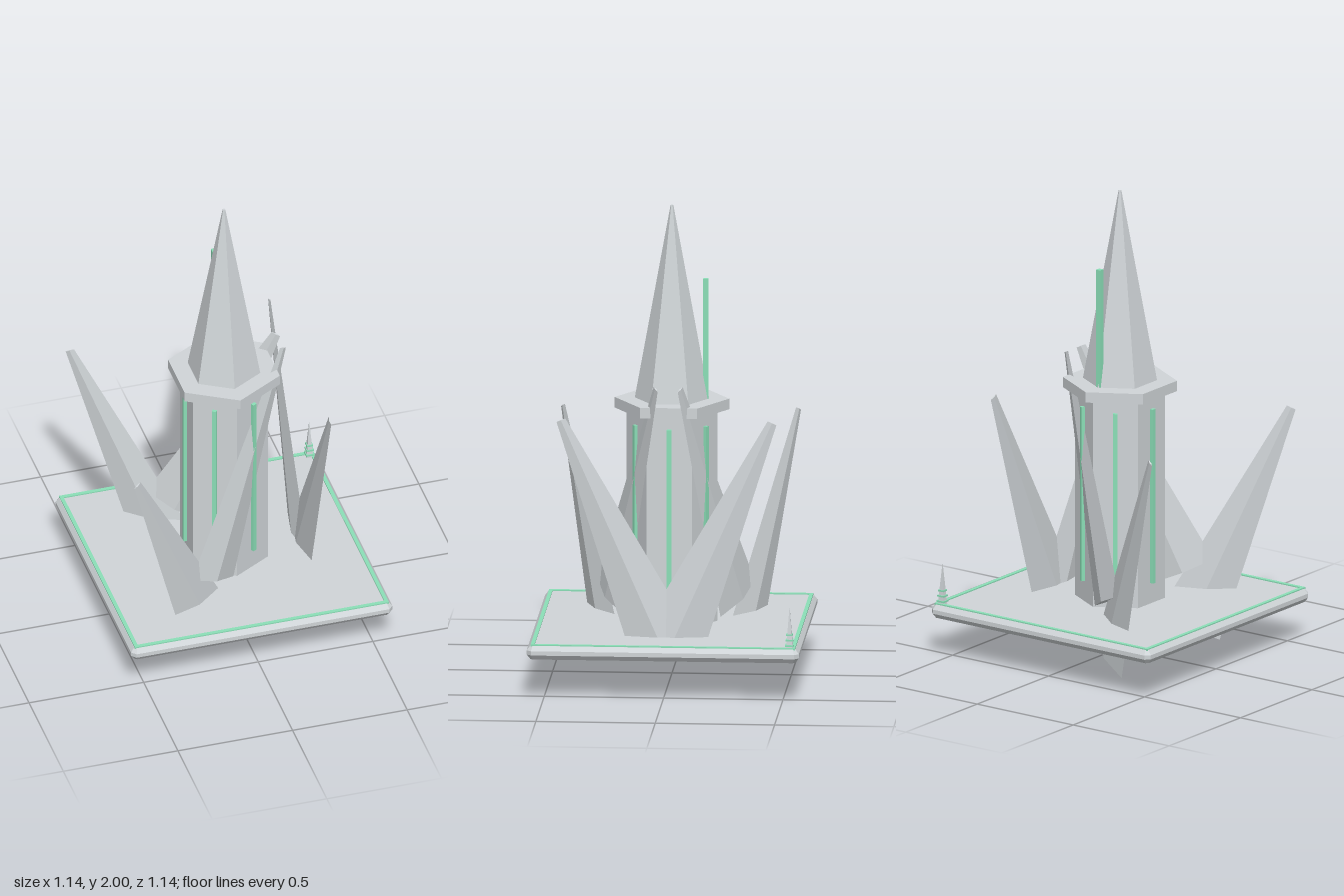
import * as THREE from 'three';

export function createModel() {
  const model = new THREE.Group();
  const stone = new THREE.MeshStandardMaterial({ color: 0xd0d5d8, flatShading: true });
  stone.name = 'light grey stone';
  const glow = new THREE.MeshStandardMaterial({ color: 0x8ce0b8, flatShading: true });
  glow.name = 'pale green';

  const add = (name, geo, mat, x = 0, y = 0, z = 0, parent = model) => {
    const mesh = new THREE.Mesh(geo, mat);
    mesh.name = name;
    mesh.position.set(x, y, z);
    parent.add(mesh);
    return mesh;
  };

  // Square base slab with chamfered edges and corners
  const h = 0.555, c = 0.545;
  const outline = new THREE.Shape([
    [h, -c], [h, c], [c, h], [-c, h], [-h, c], [-h, -c], [-c, -h], [c, -h],
  ].map(([x, y]) => new THREE.Vector2(x, y)));
  const slab = new THREE.ExtrudeGeometry(outline, {
    depth: 0.018, bevelEnabled: true, bevelThickness: 0.02, bevelSize: 0.015, bevelSegments: 1,
  });
  slab.rotateX(-Math.PI / 2);
  add('base', slab, stone, 0, 0.188, 0);

  // Green rim around the top of the base
  for (const s of [-1, 1]) {
    add('baseRim', new THREE.BoxGeometry(1.108, 0.008, 0.016), glow, 0, 0.227, s * 0.546);
    add('baseRim', new THREE.BoxGeometry(0.016, 0.008, 1.076), glow, s * 0.546, 0.227, 0);
  }

  // Hexagonal tower, collar and tall roof
  add('tower', new THREE.CylinderGeometry(0.19, 0.19, 0.93, 6), stone, 0, 0.685, 0);
  add('collar', new THREE.CylinderGeometry(0.24, 0.24, 0.045, 6), stone, 0, 1.153, 0);
  add('roof', new THREE.CylinderGeometry(0.006, 0.156, 0.825, 6), stone, 0, 1.5875, 0);
  add('mast', new THREE.BoxGeometry(0.022, 0.53, 0.022), glow, 0, 1.423, -0.142);

  // One light strip in the middle of each tower face
  for (let i = 0; i < 6; i++) {
    const a = Math.PI / 6 + i * Math.PI / 3;
    const strip = add('lightStrip', new THREE.BoxGeometry(0.019, 0.76, 0.024), glow,
      0.167 * Math.sin(a), 0.695, 0.167 * Math.cos(a));
    strip.rotation.y = a;
  }

  // Three pairs of flat crystal blades crossing in a V; two pairs tip to one side
  const tilt = 0.417, length = 1.06;
  const blade = new THREE.CylinderGeometry(0.02, 0.14, length, 4);
  blade.translate(0, length / 2, 0);
  blade.scale(0.2, 1, 1);
  [0, 1, -1].forEach((lean, i) => {
    const a = i * Math.PI * 2 / 3;
    const pair = new THREE.Group();
    pair.name = 'bladePair';
    pair.position.set(0.33 * Math.cos(a), 0, 0.33 * Math.sin(a));
    pair.rotation.y = a;
    for (const s of [-1, 1]) {
      const rise = s * lean;
      const mesh = add('blade', blade, stone, 0, 0.175 + rise * 0.119, s * (0.013 + rise * 0.027), pair);
      mesh.rotation.x = s * tilt;
    }
    model.add(pair);
  });

  // Small ringed spire in the back corner
  const spire = new THREE.Group();
  spire.name = 'cornerSpire';
  spire.position.set(0.53, 0.226, -0.53);
  add('spireCone', new THREE.CylinderGeometry(0.001, 0.02, 0.174, 4).rotateY(Math.PI / 4),
    stone, 0, 0.087, 0, spire);
  [0.036, 0.032, 0.027].forEach((w, i) =>
    add('spireRing', new THREE.BoxGeometry(w, 0.007, w), glow, 0, 0.013 + i * 0.023, 0, spire));
  model.add(spire);

  return model;
}
